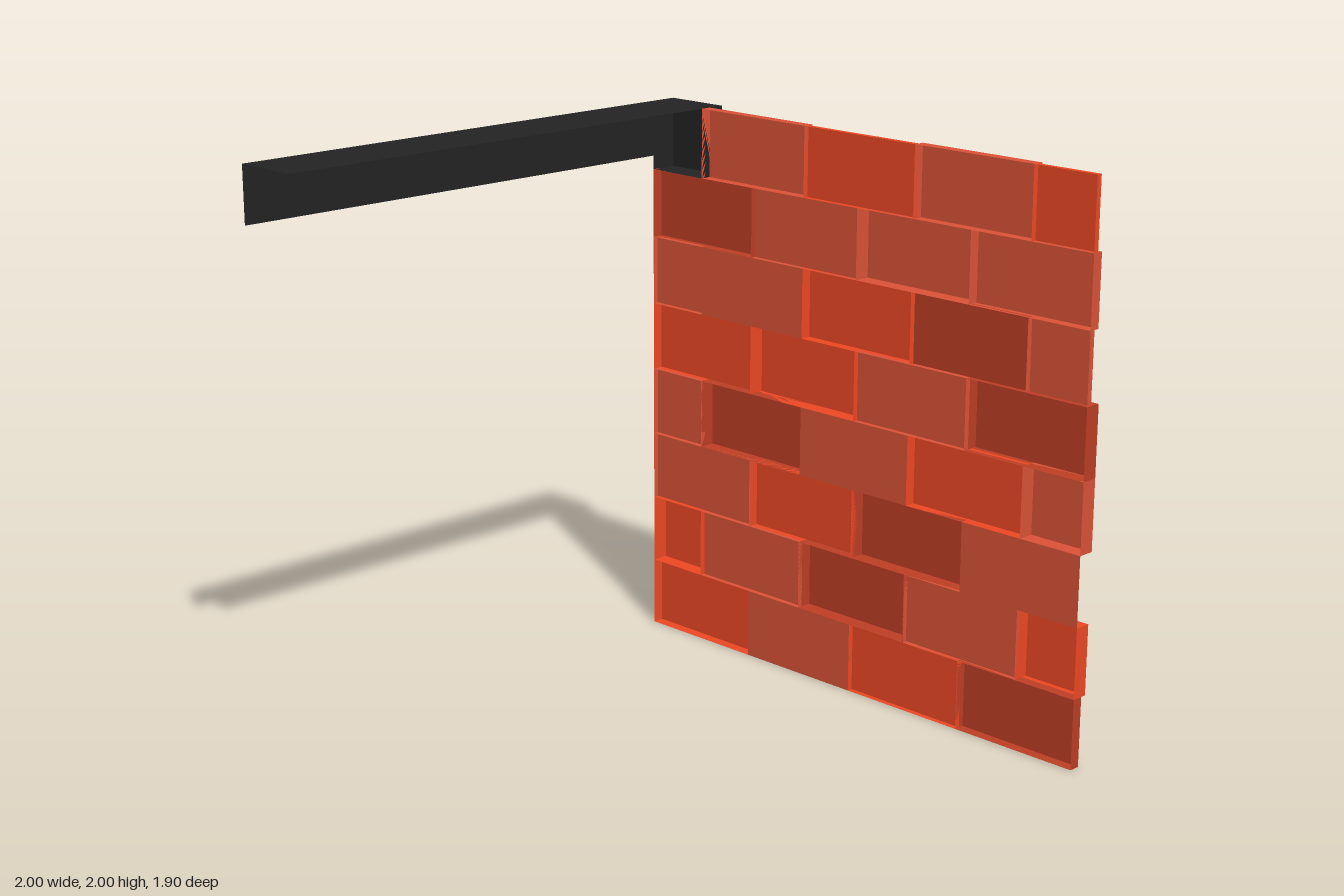
import * as THREE from 'three';

// Face order of a box geometry, six indices each
const FACES = ['right', 'left', 'top', 'bottom', 'front', 'back'];

const paint = (color) => new THREE.MeshStandardMaterial({ color, side: THREE.DoubleSide });

// Open box between two corners, keeping only the listed faces
function shell(parent, name, mat, [x0, y0, z0], [x1, y1, z1], faces) {
  const geo = new THREE.BoxGeometry(x1 - x0, y1 - y0, z1 - z0);
  const all = Array.from(geo.index.array);
  geo.setIndex(faces.flatMap((face) => {
    const start = FACES.indexOf(face) * 6;
    return all.slice(start, start + 6);
  }));
  geo.clearGroups();
  geo.translate((x0 + x1) / 2, (y0 + y1) / 2, (z0 + z1) / 2);
  const mesh = new THREE.Mesh(geo, mat);
  mesh.name = name;
  parent.add(mesh);
}

export function createModel() {
  const model = new THREE.Group();
  const beamMat = paint(0x232323);
  const brickMats = { B: paint(0xee4824), L: paint(0xdc5338), D: paint(0xbe3e25) };
  const openFront = ['right', 'left', 'top', 'bottom', 'back'];
  const wallFront = -0.85;

  // Courses from bottom to top, bricks from x = -1: shade letter, then
  // how many steps of 0.02 the brick is pressed towards the back
  const courses = [
    'B2 L0 B1 D2',
    'B3 L1 D3 L1 B3',
    'L1 B2 D3 L0',
    'L1 D3 L0 B2 L3',
    'B2 B3 L1 D3',
    'L1 L0 B2 D1 L1',
    'D2 L1 L3 L2',
    '-- L2 B1 L2 B1', // the first space holds the beam end
  ];
  const wall = new THREE.Group();
  wall.name = 'brickWall';
  courses.forEach((course, row) => {
    const shift = row % 2 ? 0.25 : 0;
    course.split(' ').forEach((code, i) => {
      if (code === '--') return;
      const depth = Number(code[1]) * 0.02;
      const x0 = Math.max(-1, -1 + i * 0.5 - shift);
      const x1 = Math.min(1, -0.5 + i * 0.5 - shift);
      shell(wall, 'brick', brickMats[code[0]],
        [x0, row * 0.25, wallFront - depth], [x1, row * 0.25 + 0.25, wallFront],
        depth > 0 ? openFront : ['back']);
    });
  });
  model.add(wall);

  // Angle beam running forward from the corner, ending in an open block
  const beam = new THREE.Group();
  beam.name = 'cornerBeam';
  shell(beam, 'beamShaft', beamMat, [-1, 1.8, wallFront], [-0.75, 2, 0.95], ['left', 'top']);
  shell(beam, 'beamEnd', beamMat, [-1, 1.75, -0.95], [-0.75, 2, wallFront], openFront);
  model.add(beam);

  return model;
}
